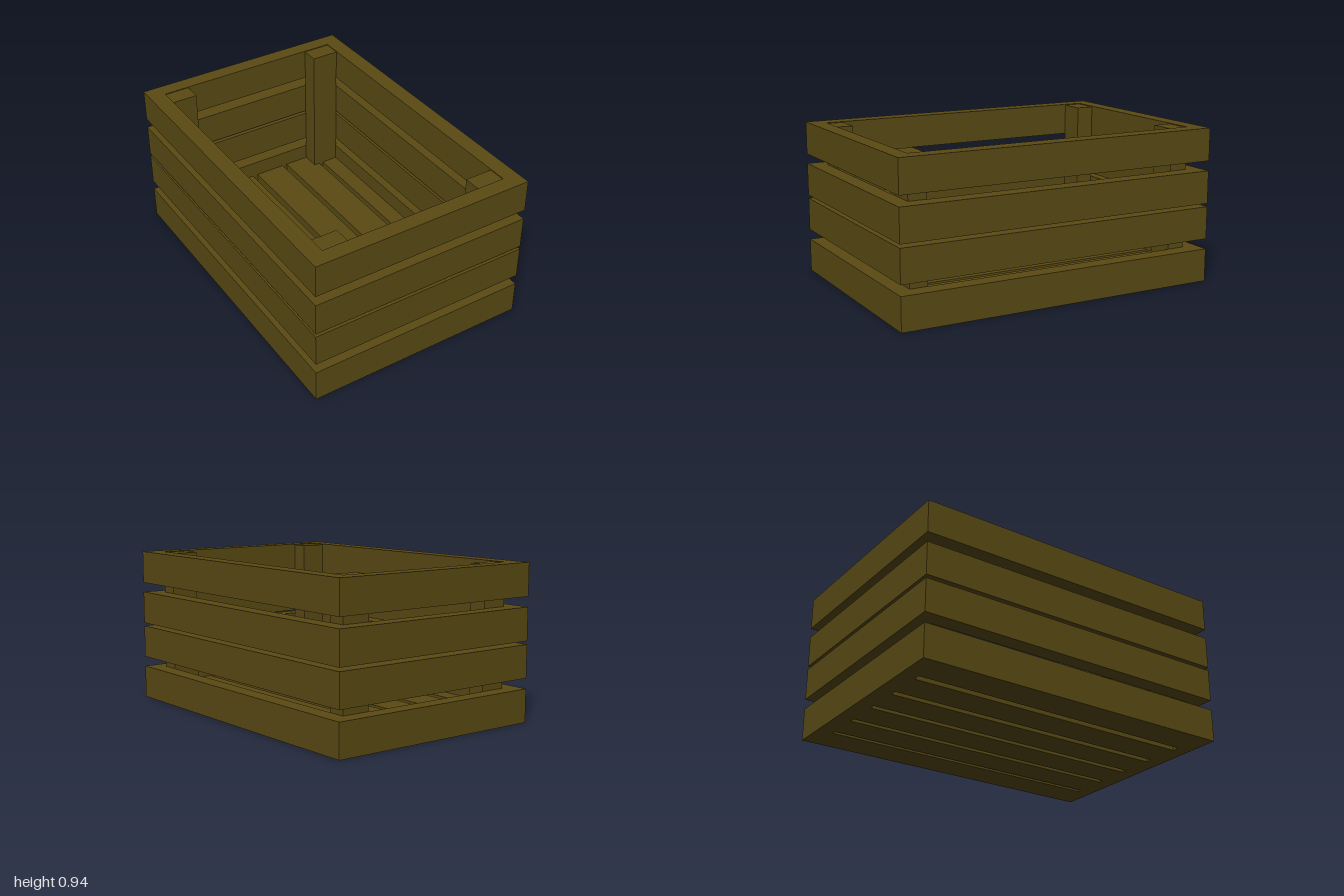
import * as THREE from 'three';

export function createModel() {
  const crate = new THREE.Group();
  crate.name = 'crate';
  const wood = new THREE.MeshStandardMaterial({ color: 0x5a4a14, flatShading: true });

  // Adds a board spanning the given ranges
  function board(name, [x0, x1], [y0, y1], [z0, z1]) {
    const mesh = new THREE.Mesh(new THREE.BoxGeometry(x1 - x0, y1 - y0, z1 - z0), wood);
    mesh.position.set((x0 + x1) / 2, (y0 + y1) / 2, (z0 + z1) / 2);
    mesh.name = name;
    crate.add(mesh);
  }

  const W = 0.69, D = 1, T = 0.1, E = 0.095;

  // Four rings of wall boards: long sides between the end boards
  for (const y of [[0, 0.2], [0.262, 0.46], [0.48, 0.678], [0.738, 0.935]]) {
    board('frontBoard', [-W, W], y, [D - E, D]);
    board('backBoard', [-W, W], y, [-D, -D + E]);
    board('leftBoard', [W - T, W], y, [-D + E, D - E]);
    board('rightBoard', [-W, -W + T], y, [-D + E, D - E]);
  }

  // Corner posts inside the walls
  for (const x of [[-0.59, -0.432], [0.418, 0.59]]) {
    board('frontPost', x, [0.05, 0.93], [0.797, D - E]);
    board('backPost', x, [0.05, 0.93], [-D + E, -0.795]);
  }

  // Floor slats, the outer ones meeting the long walls
  for (const x of [[-0.59, -0.485], [-0.44, -0.24], [-0.2, -0.005], [0.03, 0.228], [0.26, 0.457], [0.485, 0.59]]) {
    board('floorSlat', x, [0, 0.1], [-D + E, D - E]);
  }
  return crate;
}
